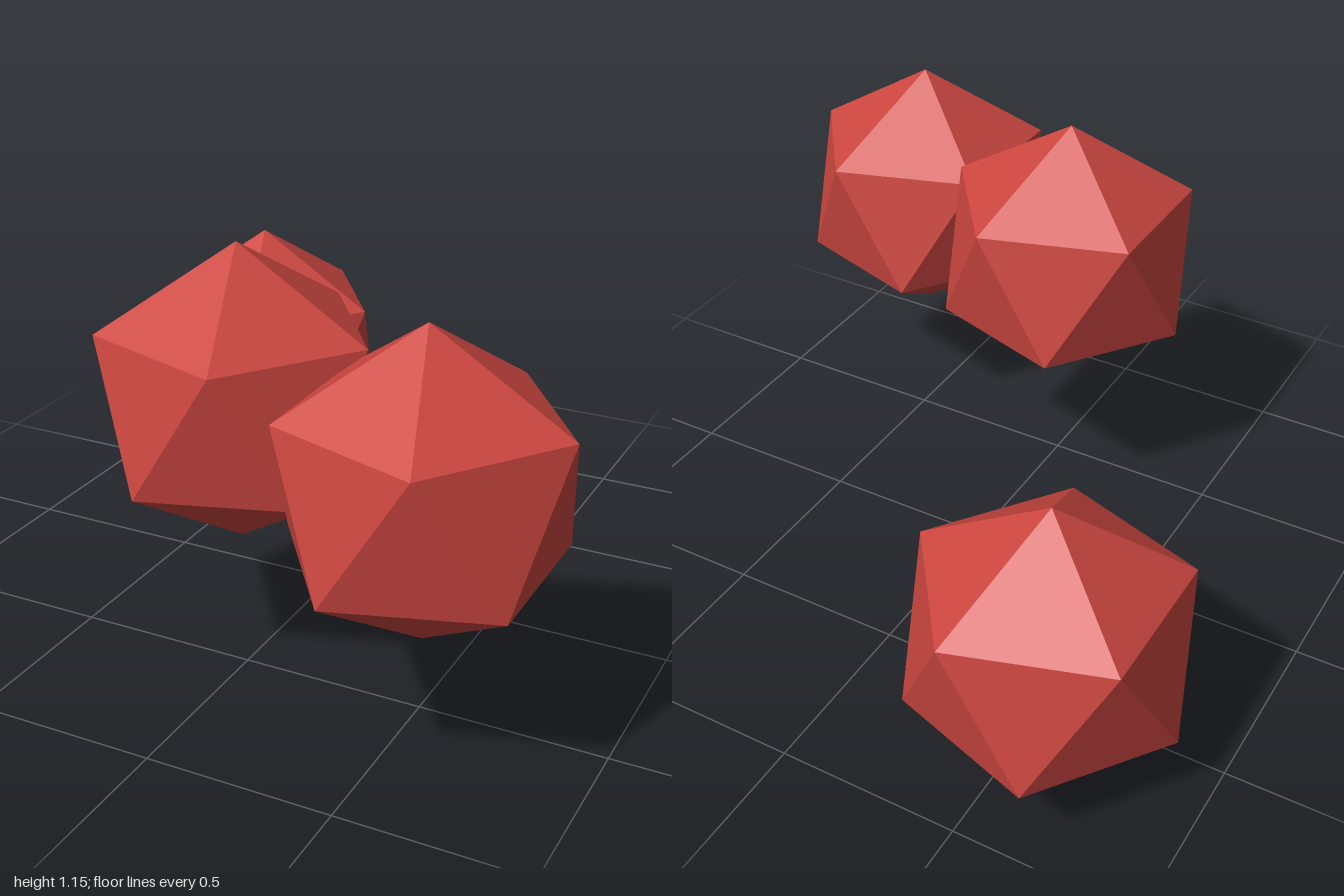
import * as THREE from 'three';

export function createModel() {
  const group = new THREE.Group();
  group.name = 'icosahedronCluster';

  const material = new THREE.MeshStandardMaterial({ color: 0xcc4640, flatShading: true });

  // Icosahedron stood on one corner, with a corner of its upper ring towards +x
  const geometry = new THREE.IcosahedronGeometry(0.4, 0);
  geometry.rotateZ(-Math.atan(2 / (1 + Math.sqrt(5))));

  const places = {
    backRightBall: [-0.57, 0.4, -0.66],
    middleBall: [-0.03, 0.752, 0.46],
    frontLeftBall: [0.57, 0.707, 0.66],
  };
  for (const [name, position] of Object.entries(places)) {
    const ball = new THREE.Mesh(geometry, material);
    ball.name = name;
    ball.position.set(...position);
    group.add(ball);
  }
  return group;
}
